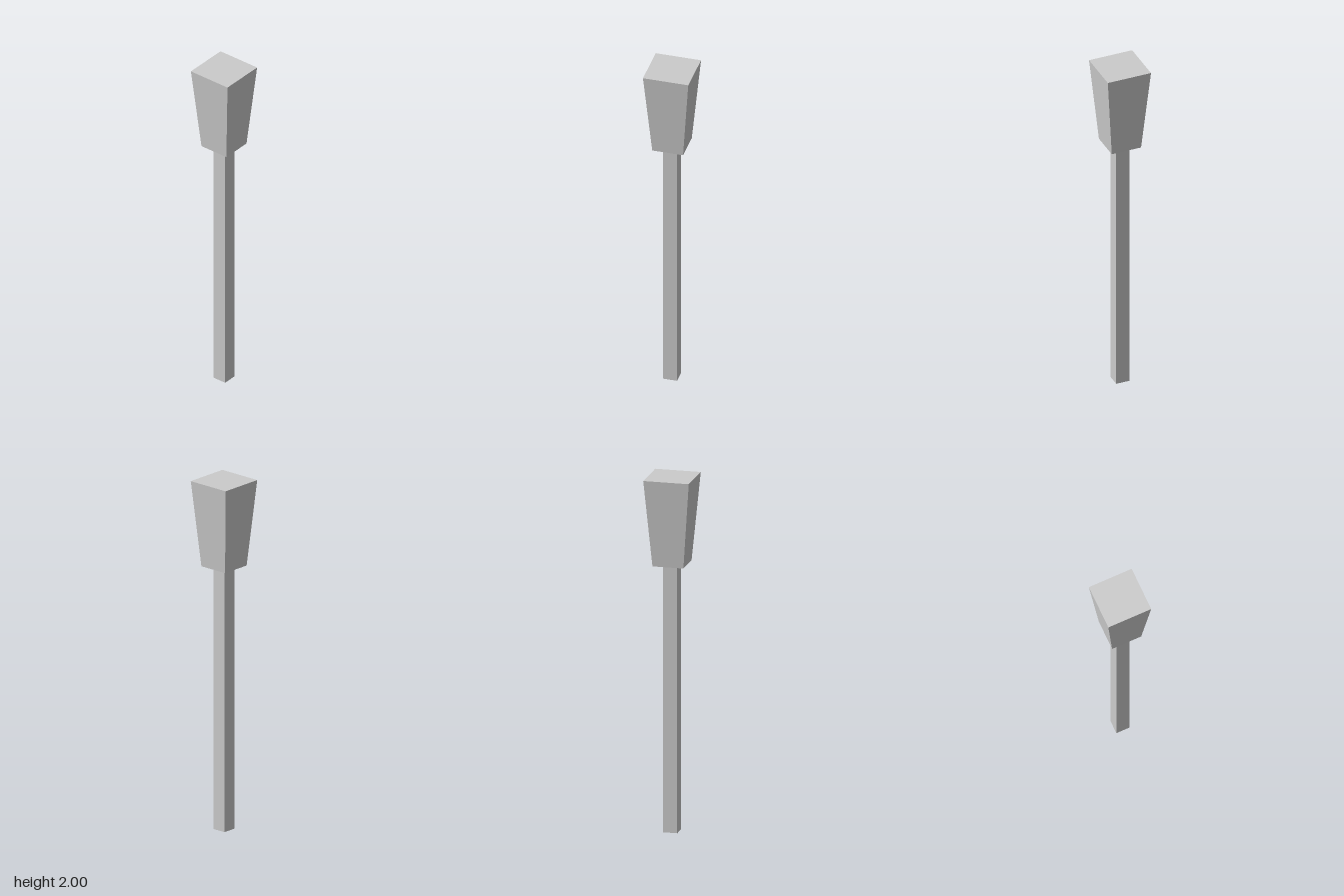
import * as THREE from 'three';

// Square prism between two heights; half-widths may differ to give a taper
function squarePrism(name, halfBottom, halfTop, y0, y1, material) {
  const geometry = new THREE.BoxGeometry(2, y1 - y0, 2);
  geometry.translate(0, (y0 + y1) / 2, 0);
  const p = geometry.attributes.position;
  for (let i = 0; i < p.count; i++) {
    const half = p.getY(i) > (y0 + y1) / 2 ? halfTop : halfBottom;
    p.setX(i, p.getX(i) * half);
    p.setZ(i, p.getZ(i) * half);
  }
  geometry.computeVertexNormals();
  const mesh = new THREE.Mesh(geometry, material);
  mesh.name = name;
  return mesh;
}

export function createModel() {
  const group = new THREE.Group();
  group.name = 'postWithTaperedHead';
  const material = new THREE.MeshStandardMaterial({ color: 0xcccccc, flatShading: true });

  // Slim square post
  group.add(squarePrism('post', 0.04, 0.04, 0, 1.51, material));

  // Head that widens towards its flat top
  group.add(squarePrism('head', 0.087, 0.128, 1.51, 2, material));

  return group;
}
